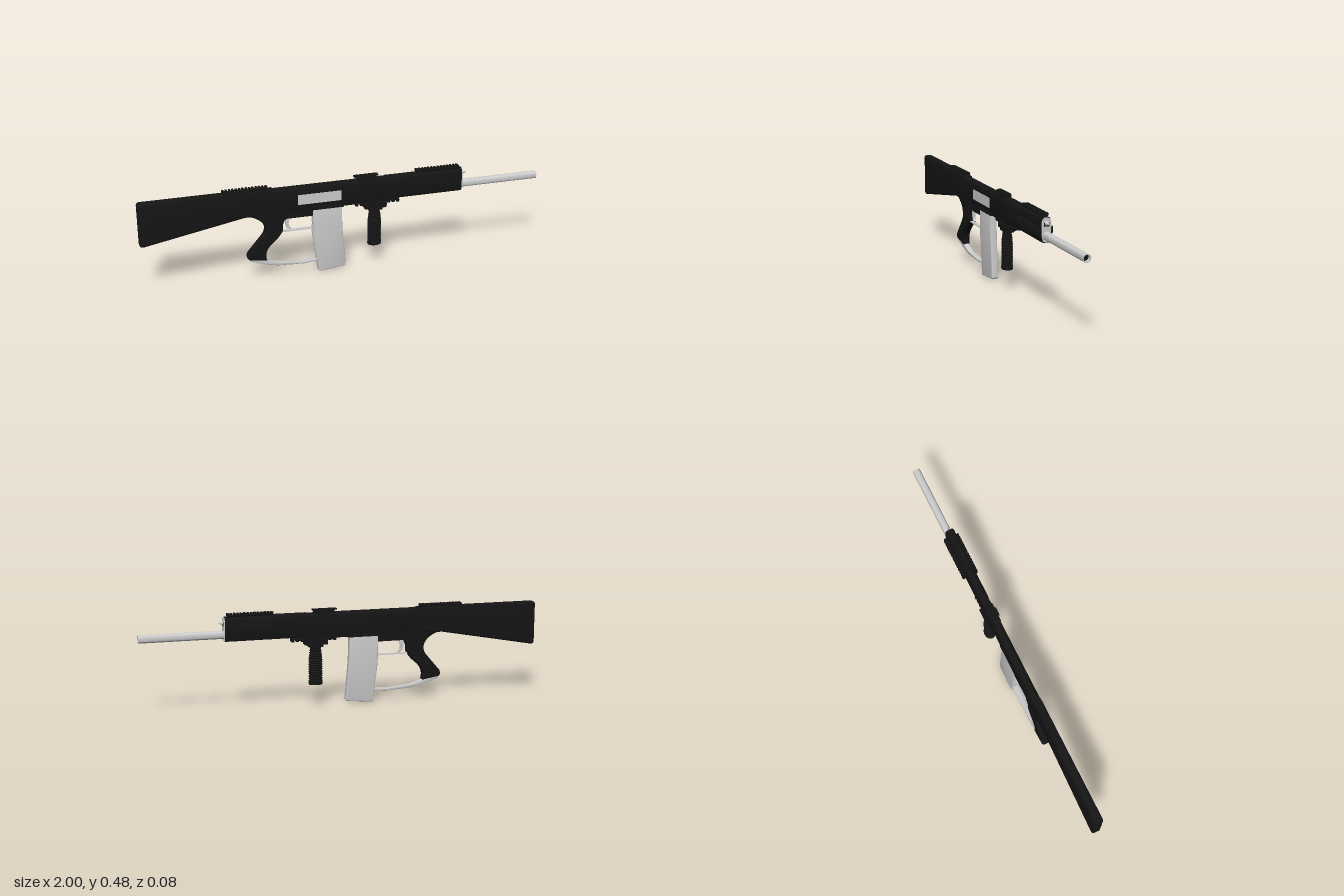
import * as THREE from 'three';
import { toCreasedNormals } from 'three/addons/utils/BufferGeometryUtils.js';

const black = new THREE.MeshStandardMaterial({ color: 0x151515 });
const grey = new THREE.MeshStandardMaterial({ color: 0xcccccc });

export function createModel() {
  const model = new THREE.Group();

  const add = (name, geometry, material, parent = model) => {
    const mesh = new THREE.Mesh(geometry, material);
    mesh.name = name;
    parent.add(mesh);
    return mesh;
  };
  const toShape = (pts) => new THREE.Shape(pts.map(([x, y]) => new THREE.Vector2(x, y)));

  // Side silhouette given thickness along z, with chamfered edges
  const slab = (shape, width, bevel) => {
    const g = new THREE.ExtrudeGeometry(shape, {
      depth: width - 2 * bevel, bevelEnabled: bevel > 0, bevelSize: bevel,
      bevelThickness: bevel, bevelOffset: -bevel, bevelSegments: 3, curveSegments: 10,
    });
    g.translate(0, 0, -width / 2 + bevel);
    return toCreasedNormals(g, 0.6);
  };
  // Cross-section drawn in (z, y), run along x
  const run = (shape, x0, x1) => {
    const g = new THREE.ExtrudeGeometry(shape, { depth: x1 - x0, bevelEnabled: false, curveSegments: 12 });
    g.rotateY(Math.PI / 2).translate(x0, 0, 0);
    return toCreasedNormals(g, 0.6);
  };
  const box = (name, x0, x1, y0, y1, width, material, z = 0) => {
    const mesh = add(name, new THREE.BoxGeometry(x1 - x0, y1 - y0, width), material);
    mesh.position.set((x0 + x1) / 2, (y0 + y1) / 2, z);
    return mesh;
  };

  // Stock with rounded butt corners, sloping underside
  const stock = new THREE.Shape();
  stock.moveTo(-0.98, 0.245);
  stock.lineTo(-0.5, 0.333);
  stock.lineTo(-0.36, 0.335);
  stock.lineTo(-0.36, 0.463);
  stock.lineTo(-0.985, 0.463);
  stock.quadraticCurveTo(-1, 0.463, -1, 0.448);
  stock.lineTo(-1, 0.262);
  stock.quadraticCurveTo(-1, 0.242, -0.98, 0.245);
  add('stock', slab(stock, 0.042, 0.008), black);

  // Receiver and handguard share a round-topped section
  const section = (w, bottom, top) => {
    const s = new THREE.Shape();
    s.moveTo(-w * 0.7, bottom);
    s.lineTo(w * 0.7, bottom);
    s.lineTo(w, bottom + 0.025);
    s.lineTo(w, top - w);
    s.absarc(0, top - w, w, 0, Math.PI, false);
    s.lineTo(-w, bottom + 0.025);
    s.closePath();
    return s;
  };
  add('receiver', run(section(0.0205, 0.335, 0.462), -0.42, 0.22), black);
  add('handguard', run(section(0.0225, 0.345, 0.464), 0.2, 0.595), black);
  add('handguardEndPlate', run(section(0.022, 0.35, 0.46), 0.59, 0.6), grey);
  box('endPlateSlot', 0.598, 0.602, 0.42, 0.437, 0.026, black);
  box('triggerHousing', -0.33, -0.165, 0.303, 0.345, 0.032, black);
  box('magazineWell', -0.175, -0.01, 0.332, 0.36, 0.038, black);
  box('ejectionPanel', -0.24, -0.025, 0.37, 0.42, 0.004, grey, 0.0205);

  // Barrel: hollow tube with a dark bore
  const barrel = add('barrel', toCreasedNormals(new THREE.LatheGeometry(
    [[0.0155, 0.3], [0.0155, 0.4], [0.0195, 0.4], [0.0195, 0]].map(([r, y]) => new THREE.Vector2(r, y)).reverse(), 24), 0.6), grey);
  barrel.material = grey.clone();
  barrel.material.side = THREE.DoubleSide;
  barrel.rotation.z = -Math.PI / 2;
  barrel.position.set(0.6, 0.377, 0);
  const bore = add('bore', new THREE.CylinderGeometry(0.0158, 0.0158, 0.01, 24), black);
  bore.rotation.z = -Math.PI / 2;
  bore.position.set(0.975, 0.377, 0);
  const tip = add('frontPin', new THREE.ConeGeometry(0.011, 0.028, 12), grey);
  tip.rotation.z = -Math.PI / 2;
  tip.position.set(0.613, 0.433, 0);

  // Pistol grip
  const grip = new THREE.Shape();
  grip.moveTo(-0.5, 0.338);
  grip.bezierCurveTo(-0.43, 0.33, -0.375, 0.275, -0.415, 0.225);
  grip.lineTo(-0.488, 0.14);
  grip.quadraticCurveTo(-0.498, 0.115, -0.48, 0.108);
  grip.lineTo(-0.395, 0.095);
  grip.quadraticCurveTo(-0.41, 0.14, -0.375, 0.175);
  grip.quadraticCurveTo(-0.32, 0.22, -0.313, 0.25);
  grip.quadraticCurveTo(-0.32, 0.285, -0.29, 0.31);
  grip.lineTo(-0.29, 0.345);
  grip.lineTo(-0.5, 0.345);
  add('pistolGrip', slab(grip, 0.038, 0.007), black);

  // Hand guard strap from grip to magazine, closed by a thin bar and trigger
  add('handStrap', slab(toShape([[-0.492, 0.118], [-0.48, 0.1], [-0.41, 0.075], [-0.34, 0.06], [-0.21, 0.053],
    [-0.145, 0.06], [-0.145, 0.069], [-0.21, 0.064], [-0.33, 0.074], [-0.39, 0.092], [-0.41, 0.112]]), 0.026, 0.002), grey);
  box('triggerGuardBar', -0.325, -0.155, 0.233, 0.238, 0.02, grey);
  add('trigger', slab(toShape([[-0.3, 0.31], [-0.3, 0.27], [-0.292, 0.25], [-0.275, 0.24], [-0.272, 0.246],
    [-0.282, 0.258], [-0.284, 0.275], [-0.278, 0.31]]), 0.012, 0.001), grey);

  // Magazine with small ribs on its rear edge
  add('magazine', slab(toShape([[-0.165, 0.345], [-0.163, 0.2], [-0.138, 0.005], [-0.13, 0.002], [-0.005, 0.015],
    [0, 0.022], [-0.017, 0.22], [-0.02, 0.345]]), 0.033, 0.004), grey);
  for (let i = 0; i < 9; i++) {
    const y = 0.07 + i * 0.028;
    const x = -0.164 + Math.max(0, 0.2 - y) * 0.128;
    box('magazineRib', x - 0.003, x + 0.004, y, y + 0.012, 0.02, grey);
  }

  // Toothed rail: base strip with evenly spaced dovetail teeth, built upward from y = 0
  const rail = (name, x0, x1, count, h = 0.016, w = 0.018) => {
    const g = new THREE.Group();
    g.name = name;
    add('railBase', run(toShape([[-w * 0.7, -0.008], [w * 0.7, -0.008], [w * 0.7, h * 0.55], [-w * 0.7, h * 0.55]]), x0, x1), black, g);
    const tooth = toShape([[-w * 0.7, 0], [w * 0.7, 0], [w, h * 0.4], [w, h * 0.65], [w * 0.8, h], [-w * 0.8, h], [-w, h * 0.65], [-w, h * 0.4]]);
    const pitch = (x1 - x0) / (count - 0.5);
    for (let i = 0; i < count; i++) {
      add('railTooth', run(tooth, x0 + i * pitch, x0 + (i + 0.55) * pitch), black, g);
    }
    model.add(g);
    return g;
  };
  rail('rearTopRail', -0.6, -0.385, 14).position.y = 0.461;
  rail('frontTopRail', 0.36, 0.58, 14).position.y = 0.461;
  for (const side of [-1, 1]) {
    const r = rail(side > 0 ? 'frontSideRail' : 'backSideRail', 0.36, 0.58, 14);
    r.rotation.x = side * Math.PI / 2;
    r.position.set(0, 0.399, side * 0.0235);
  }

  // Folded sight on the top
  box('sightBase', 0.06, 0.155, 0.455, 0.471, 0.04, black);
  box('sightClamp', 0.09, 0.13, 0.452, 0.468, 0.054, black);
  box('sightLeaf', 0.045, 0.165, 0.471, 0.478, 0.026, black);

  // Lower rail and foregrip mount
  const lower = rail('lowerRail', 0.05, 0.27, 10, 0.022, 0.02);
  lower.rotation.x = Math.PI;
  lower.position.y = 0.346;
  box('foregripMount', 0.095, 0.205, 0.306, 0.332, 0.05, black);
  box('foregripCollar', 0.115, 0.185, 0.294, 0.31, 0.044, black);

  // Ribbed foregrip
  const profile = [[0, 0.108], [0.026, 0.108], [0.028, 0.118]];
  for (let i = 0; i < 14; i++) {
    const y = 0.121 + i * 0.0115;
    const r = 0.0265 - Math.max(0, y - 0.23) * 0.09;
    profile.push([r - 0.003, y], [r, y + 0.003], [r, y + 0.007], [r - 0.003, y + 0.01]);
  }
  profile.push([0.021, 0.285], [0.021, 0.302], [0, 0.302]);
  const foregrip = add('foregrip', toCreasedNormals(
    new THREE.LatheGeometry(profile.map(([r, y]) => new THREE.Vector2(r, y)), 24), 0.5), black);
  foregrip.scale.x = 1.28;
  foregrip.position.x = 0.15;

  return model;
}
